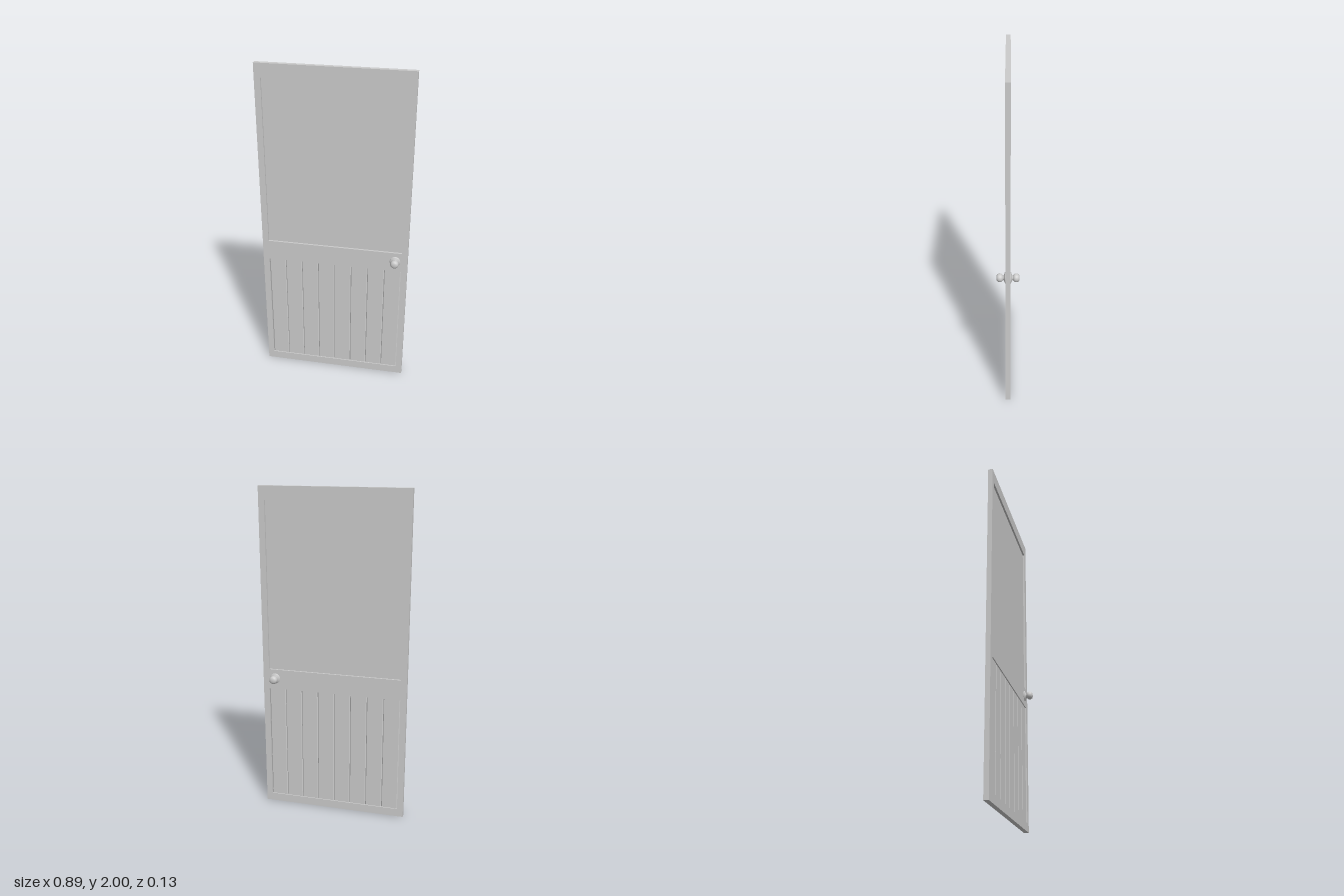
import * as THREE from 'three';

const HALF_W = 0.447, HEIGHT = 2, HALF_T = 0.014, OPEN_X = 0.41;
const GLASS = [0.9, 1.92], LOWER = [0.05, 0.775];

// rectangle outline from corner coordinates
function rect(Type, x0, y0, x1, y1) {
  return new Type([
    new THREE.Vector2(x0, y0), new THREE.Vector2(x1, y0),
    new THREE.Vector2(x1, y1), new THREE.Vector2(x0, y1),
  ]);
}

export function createModel() {
  const group = new THREE.Group();
  const material = new THREE.MeshStandardMaterial({ color: 0xcccccc });
  const add = (name, geometry, parent = group) => {
    const mesh = new THREE.Mesh(geometry, material);
    mesh.name = name;
    parent.add(mesh);
    return mesh;
  };

  // door frame with two openings
  const outline = rect(THREE.Shape, -HALF_W, 0, HALF_W, HEIGHT);
  for (const [y0, y1] of [GLASS, LOWER]) {
    outline.holes.push(rect(THREE.Path, -OPEN_X, y0, OPEN_X, y1));
  }
  const frame = new THREE.ExtrudeGeometry(outline, { depth: 2 * HALF_T, bevelEnabled: false });
  frame.translate(0, 0, -HALF_T);
  add('doorFrame', frame);

  // large recessed upper panel
  const paneHeight = GLASS[1] - GLASS[0];
  add('upperPanel', new THREE.BoxGeometry(2 * OPEN_X, paneHeight, 0.005))
    .position.y = (GLASS[0] + GLASS[1]) / 2;

  // lower planks with chamfered long edges that form V grooves
  const planks = new THREE.Group();
  planks.name = 'lowerPlanks';
  group.add(planks);
  const count = 8, plankW = 2 * OPEN_X / count;
  const w = plankW / 2, t = 0.008, c = 0.005;
  const section = new THREE.Shape([
    [-w, -t + c], [-w + c, -t], [w - c, -t], [w, -t + c],
    [w, t - c], [w - c, t], [-w + c, t], [-w, t - c],
  ].map(([x, y]) => new THREE.Vector2(x, y)));
  const plank = new THREE.ExtrudeGeometry(section, { depth: LOWER[1] - LOWER[0], bevelEnabled: false });
  plank.rotateX(-Math.PI / 2);
  for (let i = 0; i < count; i++) {
    add('plank', plank, planks).position.set(-OPEN_X + (i + 0.5) * plankW, LOWER[0], 0);
  }

  // turned rosette, neck and knob on both faces
  const profile = [
    [0.032, 0], [0.032, 0.002], [0.027, 0.005], [0.017, 0.008], [0.013, 0.011],
    [0.0125, 0.014], [0.016, 0.0165], [0.021, 0.0195], [0.0245, 0.025], [0.025, 0.033],
    [0.0235, 0.041], [0.0195, 0.047], [0.013, 0.0505], [0.006, 0.0518], [0, 0.052],
  ].map(([r, y]) => new THREE.Vector2(r, y));
  const knob = new THREE.LatheGeometry(profile, 32);
  knob.rotateX(Math.PI / 2);
  for (const side of [1, -1]) {
    const mesh = add(side > 0 ? 'frontKnob' : 'backKnob', knob);
    mesh.position.set(0.372, 0.843, side * HALF_T);
    if (side < 0) mesh.rotation.y = Math.PI;
  }

  return group;
}
